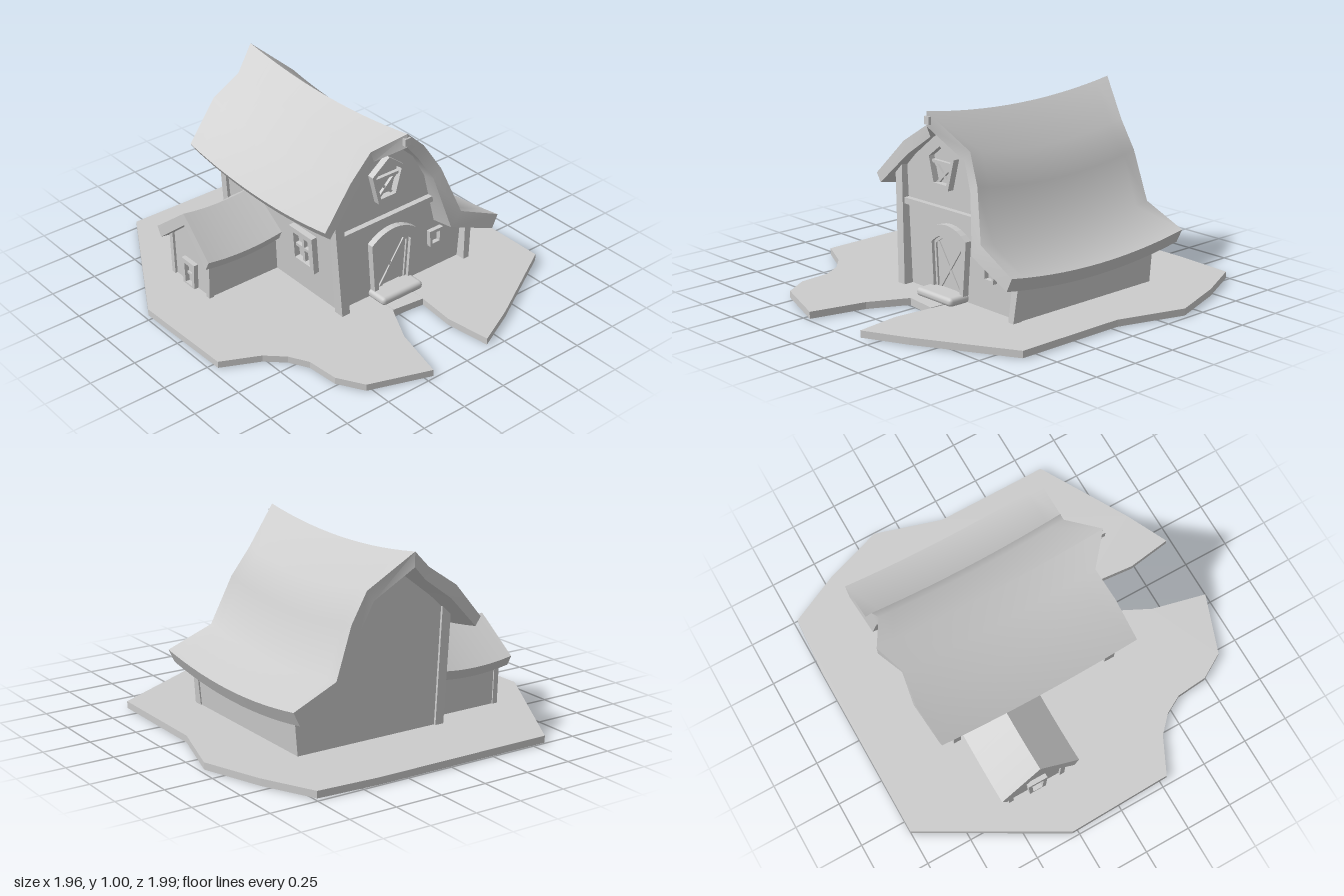
import * as THREE from 'three';
import { toCreasedNormals } from 'three/addons/utils/BufferGeometryUtils.js';
import { RoundedBoxGeometry } from 'three/addons/geometries/RoundedBoxGeometry.js';

const grey = new THREE.MeshStandardMaterial({ color: 0xcccccc, side: THREE.DoubleSide });
const polygon = (pts) => new THREE.Shape(pts.map(([x, y]) => new THREE.Vector2(x, y)));

function add(parent, name, geometry) {
  const mesh = new THREE.Mesh(geometry, grey);
  mesh.name = name;
  parent.add(mesh);
  return mesh;
}

// Flat polygon in x,y, extruded from z0 to z1, with an optional opening
function slab(parent, name, pts, z0, z1, hole) {
  const shape = polygon(pts);
  if (hole) shape.holes.push(polygon(hole));
  const geo = new THREE.ExtrudeGeometry(shape, { depth: z1 - z0, bevelEnabled: false });
  return add(parent, name, geo.translate(0, 0, z0));
}

// Straight board between two points of a wall
function board(parent, name, x0, y0, x1, y1, width, z0, z1) {
  const geo = new THREE.BoxGeometry(Math.hypot(x1 - x0, y1 - y0), width, z1 - z0);
  geo.rotateZ(Math.atan2(y1 - y0, x1 - x0)).translate((x0 + x1) / 2, (y0 + y1) / 2, (z0 + z1) / 2);
  return add(parent, name, geo);
}

const rect = (cx, cy, w, h) => [[-1, -1], [1, -1], [1, 1], [-1, 1]].map(([a, b]) => [cx + a * w / 2, cy + b * h / 2]);

// Door outline: tapered towards the foot, with an arched head
function arch(cx, footHalf, headHalf, y0, y1, top) {
  const pts = [[cx - footHalf, y0], [cx + footHalf, y0]];
  for (let i = 0; i <= 8; i++) {
    const u = 1 - i / 4;
    pts.push([cx + headHalf * u, y1 + (top - y1) * (1 - u * u)]);
  }
  return pts;
}

// Sagging roof: rows are [x, y, inner x, inner y, front z, back z]
function roof(parent, name, rows, sag, steps = 14) {
  const n = rows.length;
  const ring = [...rows.map((r) => [r[0], r[1], r[4], r[5]]),
    ...rows.map((r) => [r[2], r[3], r[4], r[5]]).reverse()];
  const m = ring.length, pos = [], idx = [];
  for (let s = 0; s <= steps; s++) {
    const t = s / steps, drop = sag * (1 - (2 * t - 1) ** 2);
    for (const [x, y, zf, zb] of ring) pos.push(x, y - drop, zb + (zf - zb) * t);
  }
  for (let s = 0; s < steps; s++) {
    for (let j = 0; j < m; j++) {
      const a = s * m + j, b = s * m + (j + 1) % m, c = b + m, d = a + m;
      idx.push(d, c, b, d, b, a);
    }
  }
  for (let i = 0; i < n - 1; i++) {
    const o = i, p = i + 1, q = m - 2 - i, r = m - 1 - i, e = steps * m;
    idx.push(e + r, e + q, e + p, e + r, e + p, e + o);
    idx.push(o, p, q, o, q, r);
  }
  const geo = new THREE.BufferGeometry();
  geo.setAttribute('position', new THREE.Float32BufferAttribute(pos, 3));
  geo.setIndex(idx);
  geo.computeVertexNormals();
  return add(parent, name, toCreasedNormals(geo, 0.85));
}

// Framed window with a cross of glazing bars, reaching through the wall
function crossWindow(parent, name, w, h, border) {
  const g = new THREE.Group();
  g.name = name;
  slab(g, 'windowFrame', rect(0, 0, w, h), -0.03, 0.03, rect(0, 0, w - 2 * border, h - 2 * border));
  board(g, 'mullion', 0, border - h / 2, 0, h / 2 - border, border * 0.6, -0.028, 0.018);
  board(g, 'transom', border - w / 2, 0, w / 2 - border, 0, border * 0.6, -0.028, 0.018);
  parent.add(g);
  return g;
}

function makeGround(parent) {
  const pts = [[-0.57, -1], [0.42, -1], [0.74, -0.98], [0.87, -0.71], [0.98, -0.39], [0.87, -0.03],
    [0.87, 0.59], [0.39, 0.86], [0.16, 0.97], [0.125, 0.73], [0.15, 0.45]];
  // Round opening beneath the barn, reached through the path notch
  for (let i = 0; i <= 32; i++) {
    const a = 1.3 - 5.74 * i / 32;
    pts.push([0.07 + 0.3 * Math.cos(a), 0.04 + 0.3 * Math.sin(a)]);
  }
  pts.push([-0.03, 0.48], [-0.14, 0.7], [-0.21, 0.99], [-0.53, 0.875], [-0.61, 0.74], [-0.625, 0.57],
    [-0.68, 0.47], [-0.77, 0.385], [-0.965, 0.29], [-0.98, -0.28]);
  const geo = new THREE.ExtrudeGeometry(polygon(pts), { depth: 0.036, bevelEnabled: false });
  add(parent, 'ground', geo.rotateX(Math.PI / 2).translate(0, 0.04, 0));
}

function makeBarn(parent) {
  const barn = new THREE.Group();
  barn.name = 'barn';
  parent.add(barn);

  // Walls
  const gable = [[-0.25, 0.01], [0.575, 0.01], [0.597, 0.27], [0.39, 0.36], [0.33, 0.6], [0.235, 0.78],
    [0.06, 0.935], [-0.2, 0.735], [-0.29, 0.63]];
  slab(barn, 'frontWall', gable, 0.32, 0.33);
  slab(barn, 'backWall', gable, -0.57, -0.56);
  slab(barn, 'leanToSideWall', [[0.565, 0], [0.575, 0], [0.597, 0.265], [0.587, 0.265]], -0.57, 0.325);
  slab(barn, 'tallSideWall', [[-0.25, 0.01], [-0.24, 0.01], [-0.28, 0.62], [-0.29, 0.62]], -0.565, 0.325);

  // Corner posts, the front ones splayed forward at the foot
  const tallPost = [[-0.268, 0], [-0.22, 0], [-0.255, 0.66], [-0.305, 0.61]];
  const lowPost = [[0.545, 0], [0.58, 0], [0.605, 0.26], [0.565, 0.28]];
  const frontPosts = [slab(barn, 'tallCornerPost', tallPost, 0.325, 0.365),
    slab(barn, 'leanToCornerPost', lowPost, 0.33, 0.365)];
  for (const { geometry } of frontPosts) {
    const p = geometry.attributes.position;
    for (let i = 0; i < p.count; i++) {
      if (p.getZ(i) > 0.34) p.setZ(i, p.getZ(i) + 0.02 * Math.max(0, 1 - p.getY(i) / 0.3));
    }
    geometry.computeVertexNormals();
  }
  slab(barn, 'tallCornerPost', tallPost, -0.583, -0.54);
  board(barn, 'frontBeam', -0.245, 0.474, 0.345, 0.481, 0.032, 0.32, 0.36);

  // Roof
  roof(barn, 'barnRoof', [
    [-0.40, 0.597, -0.37, 0.552, 0.41, -0.695],
    [-0.22, 0.79, -0.19, 0.728, 0.38, -0.73],
    [-0.07, 0.895, -0.05, 0.835, 0.35, -0.71],
    [0.06, 1.0, 0.06, 0.925, 0.465, -0.775],
    [0.26, 0.82, 0.22, 0.765, 0.365, -0.675],
    [0.35, 0.67, 0.30, 0.63, 0.40, -0.68],
    [0.44, 0.415, 0.375, 0.345, 0.46, -0.69],
    [0.68, 0.312, 0.645, 0.24, 0.483, -0.695]], 0.05);
  add(barn, 'ridgeBeam', new THREE.BoxGeometry(0.035, 0.04, 0.06).translate(0.062, 0.955, 0.44));

  // Arched front door with crossed braces
  const doorway = arch(0.08, 0.095, 0.11, 0.05, 0.31, 0.36);
  slab(barn, 'doorFrame', arch(0.08, 0.12, 0.145, 0.045, 0.36, 0.415), 0.3, 0.365, doorway);
  slab(barn, 'door', doorway, 0.31, 0.338);
  slab(barn, 'doorTrim', doorway, 0.335, 0.348, arch(0.08, 0.082, 0.097, 0.065, 0.3, 0.345));
  for (const s of [-1, 1]) {
    board(barn, 'doorBrace', 0.08 - s * 0.075, 0.075, 0.08 + s * 0.085, 0.31, 0.018, 0.3, 0.345 + s * 0.001);
  }

  // Loft hatch
  const hatch = [[-0.025, 0.59], [0.095, 0.59], [0.14, 0.755], [0.037, 0.835], [-0.068, 0.755]];
  const inset = hatch.map(([x, y]) => [0.036 + (x - 0.036) * 0.78, 0.705 + (y - 0.705) * 0.78]);
  slab(barn, 'hatchFrame', hatch, 0.32, 0.365, inset);
  board(barn, 'hatchRail', -0.04, 0.718, 0.112, 0.718, 0.016, 0.325, 0.35);
  for (const s of [-1, 1]) {
    board(barn, 'hatchBrace', 0.036 - s * 0.04, 0.615, 0.036 + s * 0.06, 0.71, 0.014, 0.325, 0.344 + s * 0.001);
  }

  // Windows
  slab(barn, 'smallWindowFrame', [[0.337, 0.187], [0.41, 0.187], [0.42, 0.28], [0.33, 0.28]],
    0.32, 0.355, rect(0.374, 0.233, 0.05, 0.06));
  const side = crossWindow(barn, 'sideWindow', 0.18, 0.21, 0.03);
  side.rotation.set(0.07, -Math.PI / 2, 0, 'YXZ');
  side.position.set(-0.272, 0.31, 0.1);

  // Door steps
  add(barn, 'upperStep', new RoundedBoxGeometry(0.265, 0.045, 0.13, 2, 0.02).translate(0.075, 0.06, 0.385));
  const lower = slab(barn, 'lowerStep', [[-0.035, 0.34], [0.15, 0.34], [0.143, 0.52], [-0.035, 0.5]], -0.042, -0.004);
  lower.rotation.x = Math.PI / 2;
}

// Small side house, modelled facing +z and turned to face the barn's right
function makeAnnex(parent) {
  const annex = new THREE.Group();
  annex.name = 'annex';
  annex.rotation.y = -Math.PI / 2;
  annex.position.z = -0.325;
  parent.add(annex);
  slab(annex, 'annexEndWall', [[-0.155, 0.01], [0.155, 0.01], [0.165, 0.3], [0, 0.425], [-0.165, 0.3]], 0.665, 0.675);
  for (const s of [-1, 1]) {
    slab(annex, 'annexSideWall', [[s * 0.145, 0.01], [s * 0.155, 0.01], [s * 0.165, 0.28], [s * 0.155, 0.29]], 0.25, 0.67);
    slab(annex, 'annexCornerPost', [[s * 0.135, 0.01], [s * 0.162, 0.01], [s * 0.172, 0.27], [s * 0.145, 0.3]], 0.66, 0.688);
  }
  roof(annex, 'annexRoof', [
    [-0.222, 0.30, -0.195, 0.247, 0.725, 0.26],
    [0.003, 0.477, 0.003, 0.41, 0.712, 0.26],
    [0.222, 0.30, 0.195, 0.247, 0.725, 0.26]], 0.02);
  slab(annex, 'annexDoorFrame', [[-0.045, 0], [0.045, 0], [0.055, 0.185], [-0.055, 0.185]], 0.665, 0.7,
    [[-0.027, 0.05], [0.027, 0.05], [0.033, 0.16], [-0.033, 0.16]]);
  board(annex, 'annexDoorRail', -0.03, 0.1, 0.03, 0.1, 0.014, 0.67, 0.685);
}

export function createModel() {
  const model = new THREE.Group();
  model.name = 'barnOnGround';
  makeGround(model);
  makeBarn(model);
  makeAnnex(model);
  return model;
}
